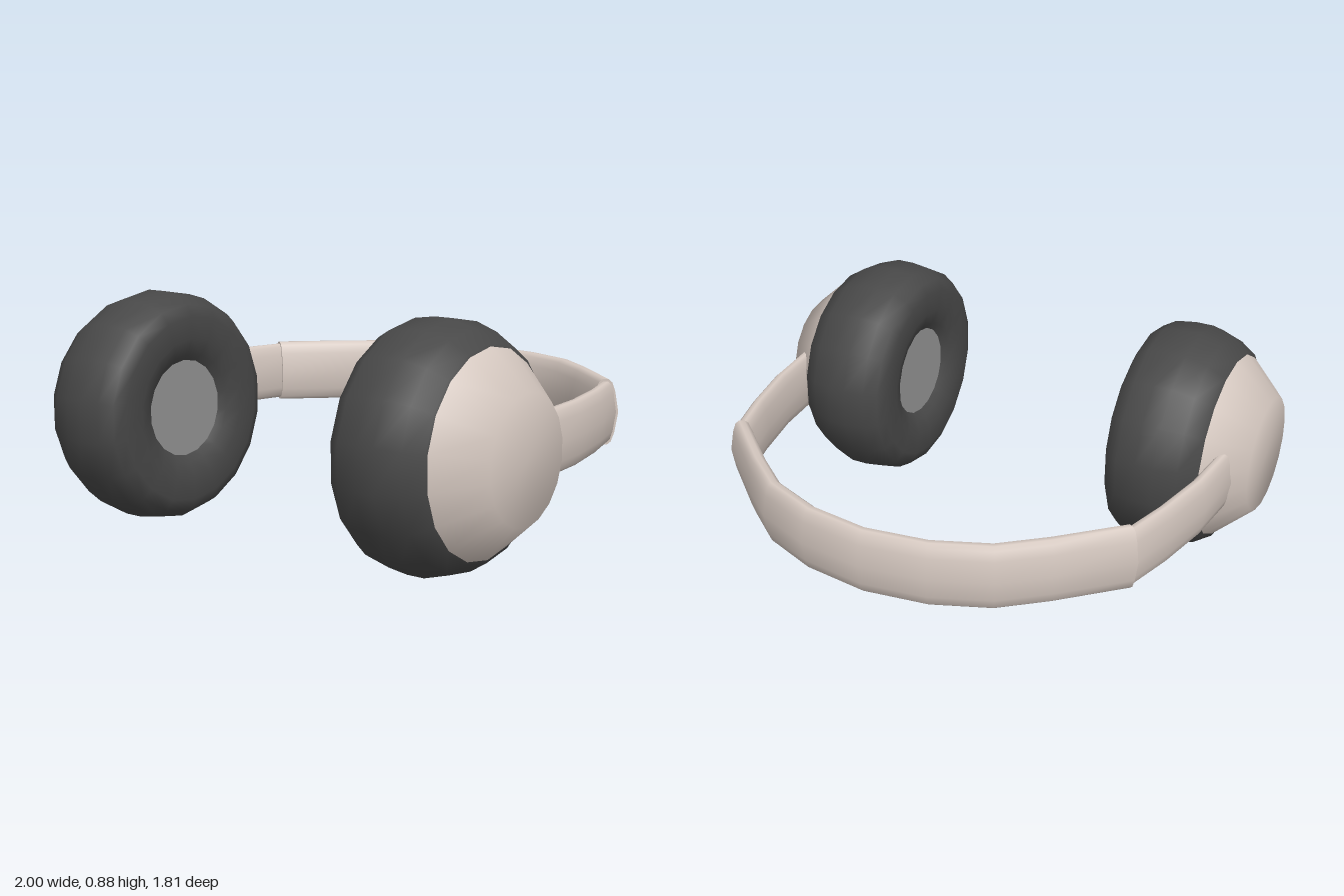
import * as THREE from 'three';

const shell = new THREE.MeshStandardMaterial({ name: 'warm beige shell', color: 0xd6c9c1 });
const padding = new THREE.MeshStandardMaterial({ name: 'charcoal padding', color: 0x484848 });
const mesh = new THREE.MeshStandardMaterial({ name: 'grey speaker cover', color: 0x949494 });

const CENTRE_Y = 0.447, CUP_Z = 0.466;

// Lathe turned about the x axis; profile entries are [radius, x]
function turned(name, profile, material) {
  const geometry = new THREE.LatheGeometry(profile.map(([r, x]) => new THREE.Vector2(r, x)), 18);
  geometry.applyMatrix4(new THREE.Matrix4().makeBasis(
    new THREE.Vector3(0, 0, 1), new THREE.Vector3(1, 0, 0), new THREE.Vector3(0, 1, 0)));
  const part = new THREE.Mesh(geometry, material);
  part.name = name;
  return part;
}

function earCup(name, side) {
  const cup = new THREE.Group();
  cup.name = name;
  cup.add(
    turned('cushion', [[0.17, 0.535], [0.21, 0.5], [0.27, 0.48], [0.355, 0.48], [0.4, 0.5], [0.43, 0.55],
      [0.441, 0.63], [0.441, 0.7], [0.412, 0.785], [0.37, 0.85], [0.33, 0.856]], padding),
    turned('speakerCover', [[0, 0.522], [0.19, 0.522]], mesh),
    turned('outerShell', [[0.36, 0.852], [0.225, 1], [0, 1]], shell));
  cup.position.set(0, CENTRE_Y, CUP_Z);
  if (side < 0) cup.rotation.y = Math.PI;
  return cup;
}

// Half of the band's centre line in [x, z], mirrored to make the whole
const half = [[0.912, 0.205], [0.895, -0.02], [0.852, -0.24], [0.802, -0.422],
  [0.595, -0.617], [0.44, -0.743], [0.235, -0.825]];
const path = [...half, [0, -0.858], ...half.slice().reverse().map(([x, z]) => [-x, z])]
  .map(([x, z]) => new THREE.Vector2(x, z));

// Mitred outward direction at each point of the path
const outward = path.map((p, i) => {
  const a = p.clone().sub(path[Math.max(i - 1, 0)]).normalize();
  const b = path[Math.min(i + 1, path.length - 1)].clone().sub(p).normalize();
  const t = a.clone().add(b).normalize();
  const cos = Math.max(t.dot(a), t.dot(b));
  return new THREE.Vector2(-t.y, t.x).multiplyScalar(-1 / cos);
});

// Soft oblong cross-section: [thickness, height] as fractions of the half sizes
const quarter = [[1, 0], [0.74, 0.62], [0.5, 0.9], [0.2, 1]];
const upper = [...quarter, ...quarter.slice().reverse().map(([u, v]) => [-u, v])];
const section = [...upper, ...upper.slice(1, -1).reverse().map(([u, v]) => [u, -v])];

function sweep(name, from, to, thickness, height) {
  const positions = [], index = [], n = section.length;
  const ring = i => section.forEach(([u, v]) => positions.push(
    path[i].x + outward[i].x * u * thickness / 2,
    CENTRE_Y + v * height / 2,
    path[i].y + outward[i].y * u * thickness / 2));
  for (let i = from; i <= to; i++) ring(i);
  for (let i = 0; i < to - from; i++) {
    for (let j = 0; j < n; j++) {
      const a = i * n + j, b = i * n + (j + 1) % n;
      index.push(a, b, a + n, b, b + n, a + n);
    }
  }
  // End faces have their own corners, so their edges stay sharp
  for (const [i, start] of [[from, true], [to, false]]) {
    const base = positions.length / 3;
    ring(i);
    for (let j = 1; j < n - 1; j++) {
      index.push(base, base + (start ? j + 1 : j), base + (start ? j : j + 1));
    }
  }
  // Keep the faces pointing outwards
  const v = k => new THREE.Vector3().fromArray(positions, index[k] * 3);
  const normal = v(1).sub(v(0)).cross(v(2).sub(v(0)));
  if (normal.x * outward[from].x + normal.z * outward[from].y < 0) {
    for (let k = 0; k < index.length; k += 3) [index[k], index[k + 1]] = [index[k + 1], index[k]];
  }
  const geometry = new THREE.BufferGeometry();
  geometry.setAttribute('position', new THREE.Float32BufferAttribute(positions, 3));
  geometry.setIndex(index);
  geometry.computeVertexNormals();
  const part = new THREE.Mesh(geometry, shell);
  part.name = name;
  return part;
}

export function createModel() {
  const model = new THREE.Group();
  model.name = 'headphones';
  const last = path.length - 1;
  model.add(
    earCup('leftEarCup', 1),
    earCup('rightEarCup', -1),
    sweep('leftArm', 0, 3, 0.08, 0.234),
    sweep('headband', 3, last - 3, 0.096, 0.252),
    sweep('rightArm', last - 3, last, 0.08, 0.234));
  return model;
}
